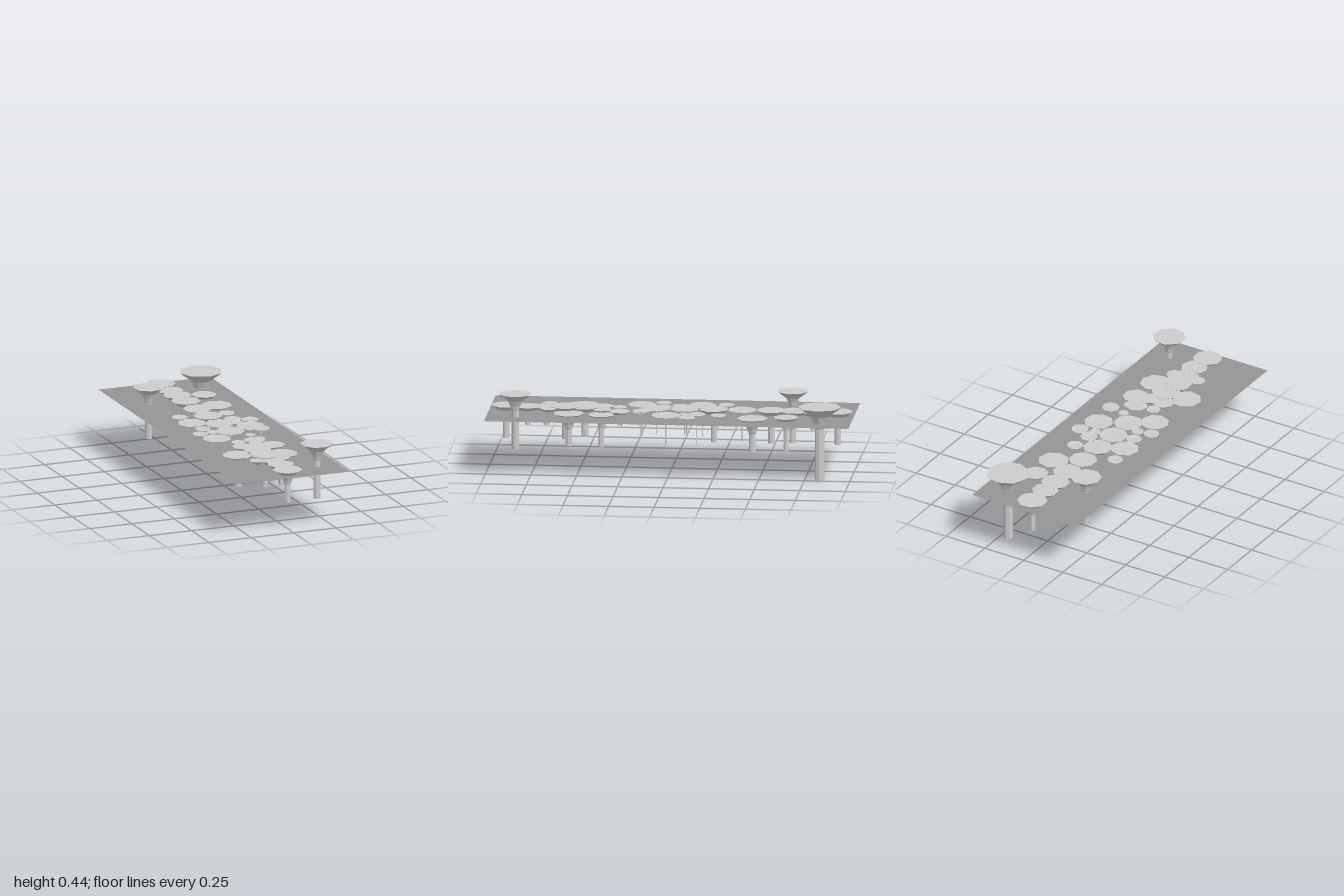
import * as THREE from 'three';

const SIDES = 8;
const grey = new THREE.MeshStandardMaterial({ color: 0xcccccc, flatShading: true });
const waterGrey = new THREE.MeshStandardMaterial({ color: 0x949494, side: THREE.DoubleSide });

// Turned, faceted solid from [radius, y] pairs listed bottom to top
function turned(name, x, z, profile, turn) {
  const points = profile.map(([r, y]) => new THREE.Vector2(r, y));
  const mesh = new THREE.Mesh(new THREE.LatheGeometry(points, SIDES), grey);
  mesh.name = name;
  mesh.position.set(x, 0, z);
  mesh.rotation.y = turn;
  return mesh;
}

// Column that flares into a wide flat cap
function funnel([x, z, r, top, bottom], i) {
  const stem = 0.215 * r;
  return turned('funnelColumn', x, z, [
    [0, bottom], [stem, bottom],
    [stem, top - 1.0 * r], [0.25 * r, top - 0.95 * r],
    [0.31 * r, top - 0.72 * r], [0.45 * r, top - 0.42 * r],
    [0.95 * r, top - 0.05 * r], [r, top], [0, top],
  ], x === 0 ? Math.PI / 8 : i * 0.29);
}

// Thin floating pad on a slender stalk
function pad([x, z, r, top, bottom], i) {
  const stalk = 0.004;
  return turned('lilyPad', x, z, [
    [0, bottom], [stalk, bottom], [stalk, top - 0.009],
    [0.6 * r, top - 0.007], [r, top - 0.002], [0.96 * r, top], [0, top - 0.003],
  ], x === 0 ? Math.PI / 8 : i * 0.37);
}

// x, z, cap radius, top height, foot height
const FUNNELS = [
  // tall ones standing apart
  [0.205, -0.83, 0.121, 0.405, 0], [0.203, 0.84, 0.092, 0.443, 0.132], [-0.18, -0.645, 0.087, 0.406, 0.115],
  // centre line
  [0, -0.91, 0.084, 0.336, 0.152], [0, -0.775, 0.075, 0.334, 0.23], [0, -0.67, 0.08, 0.335, 0.23],
  [0, -0.545, 0.082, 0.336, 0.152], [0, -0.23, 0.082, 0.336, 0.152], [0, 0.48, 0.08, 0.334, 0.2],
  [0, 0.585, 0.085, 0.336, 0.152], [0, 0.69, 0.07, 0.332, 0.23], [0.01, 0.79, 0.075, 0.334, 0.23],
  [0, 0.91, 0.082, 0.336, 0.152],
  // side clusters
  [0.145, -0.64, 0.07, 0.33, 0.14], [0.145, -0.455, 0.086, 0.32, 0.135],
  [0.13, 0.375, 0.072, 0.32, 0.14], [0.115, 0.555, 0.086, 0.32, 0.14],
  [-0.12, 0.49, 0.087, 0.32, 0.14], [-0.045, 0.38, 0.06, 0.33, 0.2],
  [0.04, 0.38, 0.055, 0.33, 0.2], [-0.08, 0.675, 0.045, 0.333, 0.245],
  [0.065, 0.67, 0.045, 0.333, 0.245], [0.065, 0.28, 0.06, 0.327, 0.25],
];

const PADS = [
  [0, -0.385, 0.08, 0.336, 0.16], [0, -0.07, 0.082, 0.336, 0.19], [0, 0.085, 0.082, 0.336, 0.19],
  [-0.035, 0.29, 0.04, 0.33, 0.25], [0.1, 0.265, 0.035, 0.33, 0.25], [0.085, 0.175, 0.03, 0.327, 0.25],
  [0.155, 0.155, 0.05, 0.353, 0.22], [0.15, 0.02, 0.082, 0.33, 0.15], [0.11, -0.08, 0.032, 0.327, 0.25],
  [0.195, -0.1, 0.05, 0.33, 0.24], [0.11, -0.145, 0.05, 0.33, 0.15], [0.125, -0.265, 0.046, 0.33, 0.24],
  [-0.145, -0.285, 0.046, 0.33, 0.225], [-0.125, -0.155, 0.08, 0.33, 0.15], [-0.11, -0.035, 0.045, 0.327, 0.24],
  [-0.085, 0.045, 0.035, 0.327, 0.25], [-0.165, 0.06, 0.045, 0.33, 0.225], [-0.115, 0.175, 0.08, 0.33, 0.15],
];

export function createModel() {
  const model = new THREE.Group();
  model.name = 'pondWithPads';

  // Flat sheet of water
  const water = new THREE.Mesh(new THREE.PlaneGeometry(0.66, 2).rotateX(-Math.PI / 2), waterGrey);
  water.name = 'waterSurface';
  water.position.y = 0.313;
  model.add(water);

  const columns = new THREE.Group();
  columns.name = 'funnelColumns';
  columns.add(...FUNNELS.map(funnel));

  const pads = new THREE.Group();
  pads.name = 'lilyPads';
  pads.add(...PADS.map(pad));

  model.add(columns, pads);
  return model;
}
